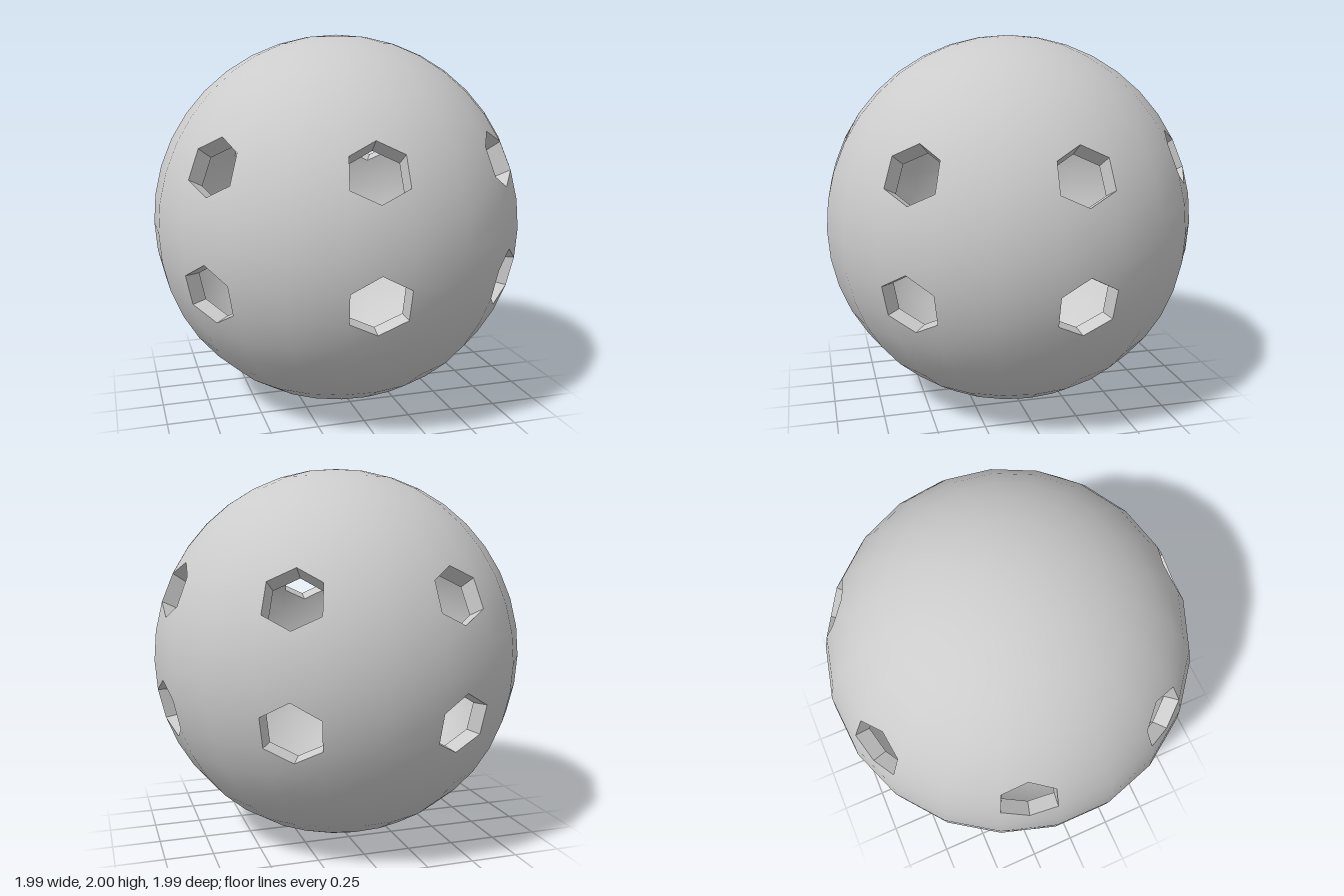
import * as THREE from 'three';

const COLS = 21, ROWS = 20;            // facets around and from pole to pole
const STEP = (Math.PI * 2) / COLS;
const DEG = Math.PI / 180;
const INNER = 0.92, DROP = 0.012;      // inner skin size and slight sag

// Hexagonal holes: lower and upper corner rows, lower and upper apex latitudes
const HOLES = [
  { lo: 8, hi: 9, bottom: -22.4, top: -4.5 },
  { lo: 12, hi: 13, bottom: 14, top: 31.1 },
];
const isHoleColumn = (c) => c % 3 === 2;

function onSphere(lat, lon, r = 1) {
  const k = Math.cos(lat) * r;
  return new THREE.Vector3(k * Math.cos(lon), Math.sin(lat), k * Math.sin(lon));
}
const gridPoint = (row, col) => onSphere((-90 + (180 * row) / ROWS) * DEG, col * STEP);
const apexPoint = (deg, col) => onSphere(deg * DEG, (col + 0.5) * STEP, Math.cos(STEP / 2));
const toInner = (p) => p.clone().multiplyScalar(INNER).setY(p.y * INNER - DROP);

// Corner loop of one cell, counter-clockwise from outside, or null in a hole
function cellLoop(row, col) {
  const a = gridPoint(row, col + 1), b = gridPoint(row, col);
  const c = gridPoint(row + 1, col), d = gridPoint(row + 1, col + 1);
  if (isHoleColumn(col)) {
    for (const h of HOLES) {
      if (row === h.lo) return null;
      if (row === h.lo - 1) return [apexPoint(h.bottom, col), d, a, b, c];
      if (row === h.hi) return [apexPoint(h.top, col), b, c, d, a];
    }
  }
  if (row === 0) return [a, c, d];
  if (row === ROWS - 1) return [a, b, c];
  return [a, b, c, d];
}

// Smooth skin with gaps at the holes
function skinGeometry(inside) {
  const pos = [], nor = [];
  const push = (p) => {
    const q = inside ? toInner(p) : p;
    const n = p.clone().normalize().multiplyScalar(inside ? -1 : 1);
    pos.push(q.x, q.y, q.z);
    nor.push(n.x, n.y, n.z);
  };
  for (let r = 0; r < ROWS; r++) {
    for (let c = 0; c < COLS; c++) {
      const loop = cellLoop(r, c);
      if (!loop) continue;
      for (let i = 1; i < loop.length - 1; i++) {
        const tri = [loop[0], loop[i], loop[i + 1]];
        (inside ? tri.reverse() : tri).forEach(push);
      }
    }
  }
  const g = new THREE.BufferGeometry();
  g.setAttribute('position', new THREE.Float32BufferAttribute(pos, 3));
  g.setAttribute('normal', new THREE.Float32BufferAttribute(nor, 3));
  return g;
}

// Six flat walls joining the outer and inner rims of one hole
function holeGeometry(h, col) {
  const rim = [
    apexPoint(h.bottom, col), gridPoint(h.lo, col), gridPoint(h.hi, col),
    apexPoint(h.top, col), gridPoint(h.hi, col + 1), gridPoint(h.lo, col + 1),
  ];
  const pts = [];
  rim.forEach((p, i) => {
    const q = rim[(i + 1) % 6], pi = toInner(p), qi = toInner(q);
    pts.push(p, q, qi, p, qi, pi);
  });
  const g = new THREE.BufferGeometry().setFromPoints(pts);
  g.computeVertexNormals();
  return g;
}

export function createModel() {
  const group = new THREE.Group();
  group.name = 'perforatedBall';
  const smooth = new THREE.MeshStandardMaterial({ color: 0xcccccc });
  const flat = new THREE.MeshStandardMaterial({ color: 0xcccccc, flatShading: true });

  const add = (name, geometry, material) => {
    const mesh = new THREE.Mesh(geometry, material);
    mesh.name = name;
    mesh.position.set(-0.005, 1, 0);
    group.add(mesh);
  };

  add('outerShell', skinGeometry(false), smooth);
  add('innerShell', skinGeometry(true), smooth);

  // Two rings of seven holes
  HOLES.forEach((h, ring) => {
    for (let c = 0; c < COLS; c++) {
      if (isHoleColumn(c)) add(ring ? 'upperHoleWall' : 'lowerHoleWall', holeGeometry(h, c), flat);
    }
  });
  return group;
}
